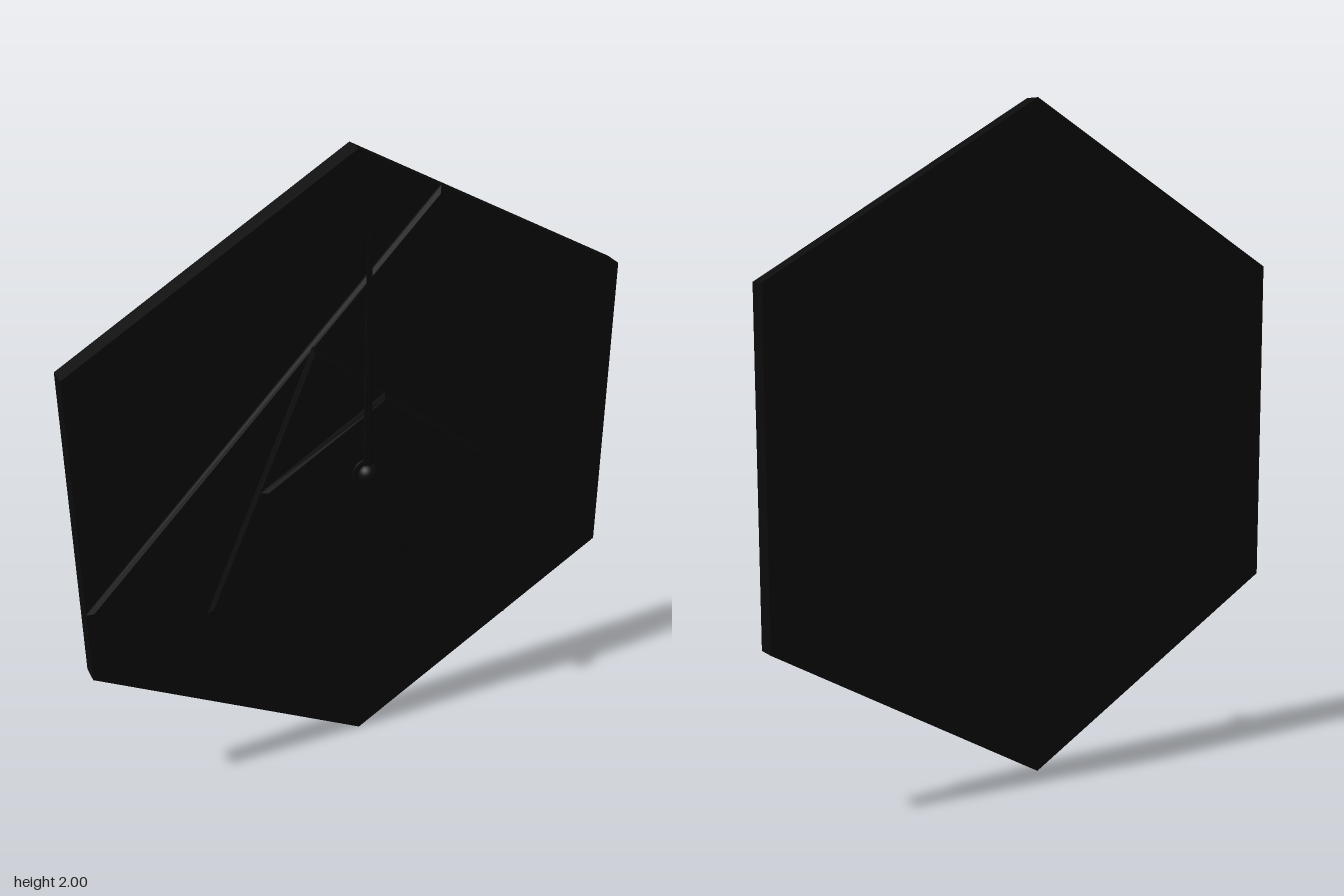
import * as THREE from 'three';

const black = new THREE.MeshStandardMaterial({ color: 0x0b0b0b });

function addMesh(parent, name, geometry, x = 0, y = 0, z = 0) {
  const mesh = new THREE.Mesh(geometry, black);
  mesh.name = name;
  mesh.position.set(x, y, z);
  parent.add(mesh);
  return mesh;
}

// Flat polygon between z0 and z1, optionally with chamfered edges
function slab(parent, name, points, z0, z1, bevel = 0) {
  const shape = new THREE.Shape(points.map(([x, y]) => new THREE.Vector2(x, y)));
  const thick = bevel * 0.6;
  const geometry = new THREE.ExtrudeGeometry(shape, {
    depth: z1 - z0 - thick, bevelEnabled: bevel > 0,
    bevelThickness: thick, bevelSize: bevel, bevelOffset: -bevel, bevelSegments: 1,
  });
  return addMesh(parent, name, geometry, 0, 0, z0);
}

export function createModel() {
  const clock = new THREE.Group();
  clock.name = 'wallClock';

  // Hexagonal back plate
  const hexagon = Array.from({ length: 6 }, (_, i) => {
    const a = Math.PI / 2 + i * Math.PI / 3;
    return [Math.cos(a), 1 + Math.sin(a)];
  });
  slab(clock, 'backPlate', hexagon, -0.07, -0.013);

  // Stacked, twisted face facets, each smaller than the last
  slab(clock, 'largeFacet',
    [[-0.866, 0.74], [0.53, 0.308], [0.25, 1.855]], -0.014, 0.002, 0.015);
  slab(clock, 'middleFacet',
    [[-0.505, 0.64], [0.455, 0.682], [0.405, 0.975], [-0.15, 1.45]], 0.001, 0.013, 0.014);
  slab(clock, 'smallFacet',
    [[-0.325, 1.02], [0.165, 0.675], [0.195, 1.14], [0.07, 1.255]], 0.012, 0.024, 0.014);

  // Hands, all pointing straight up
  const cx = 0.007, cy = 1.012;
  const hands = new THREE.Group();
  hands.name = 'hands';
  hands.position.set(cx, cy, 0);
  clock.add(hands);
  const hand = (name, length, tail, base, tip, z0, z1) => slab(hands, name,
    [[-base, -tail], [base, -tail], [tip, length], [-tip, length]], z0, z1);
  hand('hourHand', 0.56, 0, 0.015, 0.01, 0.035, 0.039);
  hand('minuteHand', 0.75, 0, 0.012, 0.007, 0.040, 0.044);
  hand('secondHand', 0.845, 0.04, 0.004, 0.002, 0.045, 0.048);

  // Spindle, washer and domed cap
  const cap = new THREE.Group();
  cap.name = 'hub';
  cap.position.set(cx, cy, 0);
  cap.rotation.x = Math.PI / 2;
  clock.add(cap);
  addMesh(cap, 'spindle', new THREE.CylinderGeometry(0.012, 0.012, 0.04, 16), 0, 0.035, 0);
  addMesh(cap, 'washer', new THREE.CylinderGeometry(0.047, 0.047, 0.008, 32), 0, 0.031, 0);
  const dome = new THREE.SphereGeometry(0.033, 24, 10, 0, Math.PI * 2, 0, Math.PI / 2);
  addMesh(cap, 'capDome', dome, 0, 0.037, 0);

  return clock;
}
